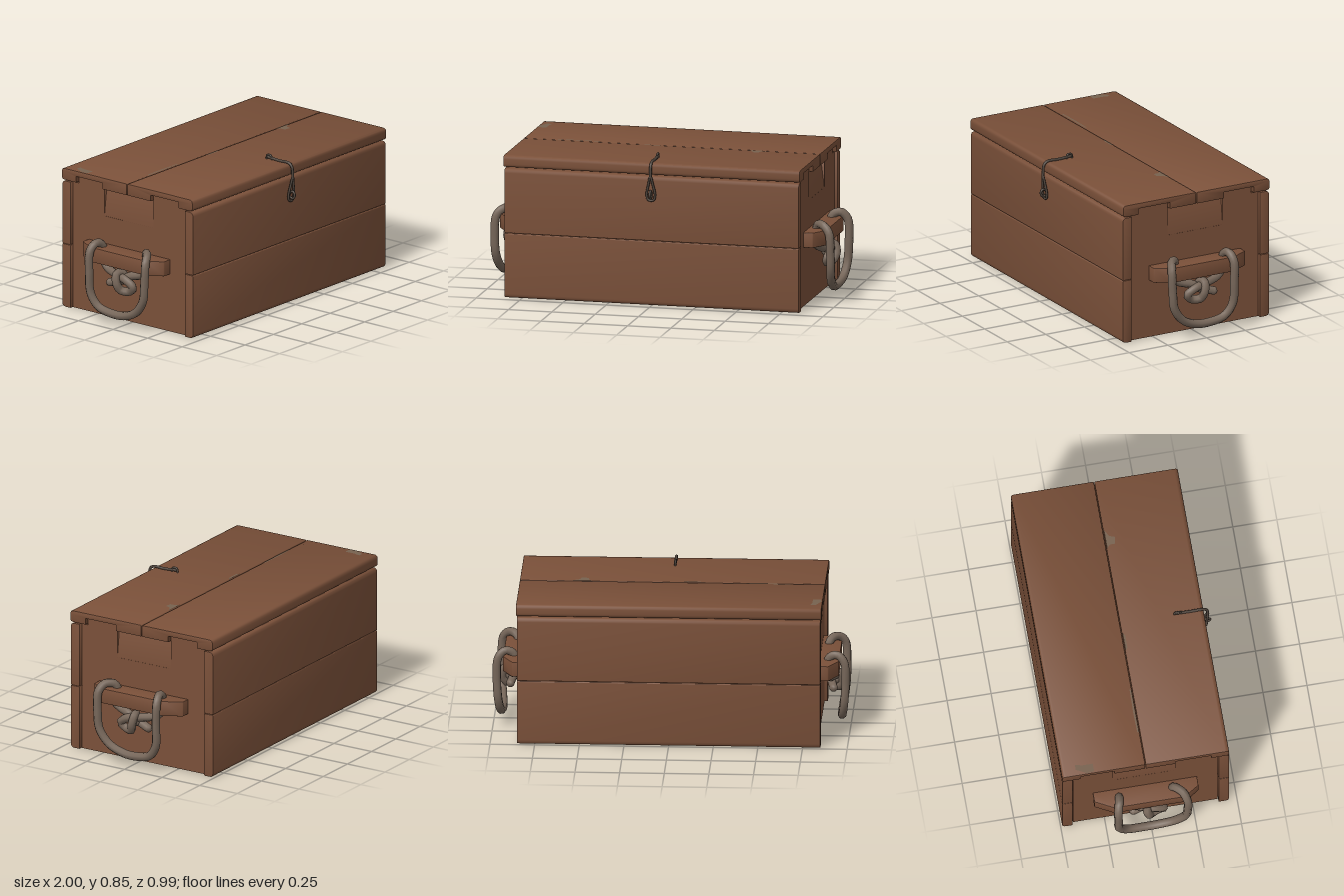
import * as THREE from 'three';
import { toCreasedNormals } from 'three/addons/utils/BufferGeometryUtils.js';

const material = (name, color, side = THREE.FrontSide) => {
  const m = new THREE.MeshStandardMaterial({ color, side });
  m.name = name;
  return m;
};

// Polygon whose corners are rounded; each point is [x, y, radius]
function roundedShape(points) {
  const shape = new THREE.Shape();
  const n = points.length;
  points.forEach(([x, y, r = 0.004], i) => {
    const p = new THREE.Vector2(x, y);
    const toward = (q) => new THREE.Vector2(q[0], q[1]).sub(p).setLength(r).add(p);
    const a = toward(points[(i + n - 1) % n]);
    const b = toward(points[(i + 1) % n]);
    if (i === 0) shape.moveTo(a.x, a.y);
    else shape.lineTo(a.x, a.y);
    shape.quadraticCurveTo(x, y, b.x, b.y);
  });
  shape.closePath();
  return shape;
}

function extrude(points, depth, bevel) {
  return new THREE.ExtrudeGeometry(roundedShape(points), {
    depth: depth - 2 * bevel, curveSegments: 4, bevelEnabled: bevel > 0,
    bevelThickness: bevel, bevelSize: bevel, bevelOffset: -bevel, bevelSegments: 2,
  }).translate(0, 0, bevel);
}

export function createModel() {
  const chest = new THREE.Group();
  chest.name = 'chest';
  const wood = material('wood', 0x7a5039);
  const rope = material('rope', 0x77675a);
  const iron = material('darkWire', 0x4d433b);
  const worn = material('wornWood', 0x77624f, THREE.DoubleSide);

  const add = (name, geometry, mat, parent = chest) => {
    const mesh = new THREE.Mesh(geometry, mat);
    mesh.name = name;
    parent.add(mesh);
    return mesh;
  };

  // Board running along x from a profile of [z, y, radius]
  const board = (name, profile, x0, x1, bevel = 0.004, parent = chest) => {
    const g = extrude(profile.map(([z, y, r]) => [-z, y, r]), Math.abs(x1 - x0), bevel);
    g.rotateY(Math.PI / 2).translate(Math.min(x0, x1), 0, 0);
    return add(name, toCreasedNormals(g, 0.7), wood, parent);
  };

  const tube = (name, points, radius, segments, mat, parent, closed = false) => {
    const curve = new THREE.CatmullRomCurve3(points.map((p) => new THREE.Vector3(...p)), closed, 'centripetal');
    add(name, new THREE.TubeGeometry(curve, segments, radius, 8, closed), mat, parent);
    // Rounded ends
    if (!closed) {
      for (const t of [0, 1]) {
        const p = curve.getPoint(t);
        add(name + 'End', new THREE.SphereGeometry(radius, 8, 6).translate(p.x, p.y, p.z), mat, parent);
      }
    }
  };

  // Front and back walls, two planks each
  for (const [name, inner, outer] of [['front', 0.396, 0.455], ['back', -0.432, -0.492]]) {
    board(name + 'LowerPlank', [[inner, 0.005], [outer, 0.005, 0.025], [outer, 0.374, 0.006], [inner, 0.374]], -0.85, 0.85);
    board(name + 'UpperPlank', [[inner, 0.376], [outer, 0.376, 0.006], [outer, 0.745, 0.025], [inner, 0.745]], -0.85, 0.85);
  }

  // Floor
  add('floor', new THREE.BoxGeometry(1.56, 0.04, 0.82).translate(0, 0.032, -0.018), wood);

  // Lid, two boards notched over the tabs of the end walls
  board('lidFrontBoard', [
    [0.455, 0.752, 0.02], [0.455, 0.82, 0.022], [-0.018, 0.82, 0.008], [-0.018, 0.752, 0.006],
    [0.152, 0.752], [0.152, 0.788], [0.353, 0.788], [0.353, 0.752],
  ], -0.855, 0.855);
  board('lidBackBoard', [
    [-0.492, 0.752, 0.02], [-0.492, 0.82, 0.022], [-0.021, 0.82, 0.008], [-0.021, 0.752, 0.006],
    [-0.197, 0.752], [-0.197, 0.788], [-0.388, 0.788], [-0.388, 0.752],
  ], -0.855, 0.855);

  // Both ends: wall, bar and rope handle
  for (const s of [1, -1]) {
    const end = new THREE.Group();
    end.name = s > 0 ? 'leftEnd' : 'rightEnd';
    chest.add(end);
    const zf = 0.392, zb = -0.428, xi = s * 0.78, xo = s * 0.832;

    for (const [y0, y1] of [[0.008, 0.25], [0.25, 0.5]]) {
      board('endPlank', [[zf, y0, 0.001], [zf, y1, 0.001], [zb, y1, 0.001], [zb, y0, 0.001]], xi, xo, 0, end);
    }
    board('tabbedEndPlank', [
      [zf, 0.5, 0.001], [zf, 0.745], [0.35, 0.745], [0.35, 0.785], [0.155, 0.785], [0.155, 0.59, 0.001],
      [-0.2, 0.59, 0.001], [-0.2, 0.785], [-0.385, 0.785], [-0.385, 0.745], [zb, 0.745], [zb, 0.5, 0.001],
    ], xi, xo, 0, end);

    // Sloping recess between the tabs
    const recess = extrude([[xi, 0.59, 0.001], [xo, 0.59, 0.001], [s * 0.812, 0.747, 0.001], [xi, 0.747, 0.001]], 0.355, 0);
    add('slopedRecess', toCreasedNormals(recess.translate(0, 0, -0.2), 0.5), wood, end);

    // Handle bar, tapered in plan
    const bar = extrude([
      [s * 0.825, 0.315], [s * 0.885, 0.315], [s * 0.94, 0.21],
      [s * 0.94, -0.19], [s * 0.885, -0.275], [s * 0.825, -0.275],
    ], 0.086, 0.003);
    bar.rotateX(-Math.PI / 2).translate(0, 0.344, 0);
    add('handleBar', toCreasedNormals(bar, 0.4), wood, end);

    // Rope: strand behind the bar, hanging loop, then the knot
    const path = [
      [0.915, 0.265, -0.02], [0.895, 0.3, 0.04], [0.88, 0.315, 0.1], [0.872, 0.345, 0.145], [0.868, 0.41, 0.13],
      [0.88, 0.45, 0.14], [0.92, 0.457, 0.18], [0.958, 0.42, 0.2], [0.968, 0.3, 0.2], [0.966, 0.2, 0.188],
      [0.957, 0.12, 0.13], [0.95, 0.08, 0.04], [0.95, 0.076, -0.05], [0.957, 0.1, -0.14], [0.968, 0.17, -0.187],
      [0.976, 0.3, -0.193], [0.968, 0.42, -0.193], [0.93, 0.458, -0.183], [0.885, 0.44, -0.175], [0.875, 0.35, -0.17],
      [0.885, 0.312, -0.13], [0.91, 0.297, -0.05], [0.925, 0.282, 0.03], [0.918, 0.247, 0.077], [0.91, 0.215, 0.045],
      [0.93, 0.218, 0], [0.95, 0.26, -0.017], [0.935, 0.312, -0.026], [0.9, 0.31, -0.015], [0.885, 0.27, -0.005],
      [0.895, 0.255, -0.05], [0.905, 0.24, -0.098],
    ];
    tube('ropeHandle', path.map(([x, y, z]) => [s * x, y, z]), 0.024, 130, rope, end);
  }

  // Wire latch over the front edge
  const latch = new THREE.Group();
  latch.name = 'latch';
  chest.add(latch);
  tube('latchStaple', [[0, 0.815, 0.29], [0, 0.842, 0.295], [0, 0.844, 0.32], [0, 0.82, 0.328]], 0.006, 16, iron, latch);
  tube('latchStrand', [[0, 0.832, 0.3], [0, 0.827, 0.38], [0, 0.827, 0.45], [0, 0.81, 0.472], [0, 0.745, 0.48]], 0.008, 28, iron, latch);
  tube('latchLoop', [
    [0, 0.75, 0.48], [0.013, 0.7, 0.474], [0.024, 0.64, 0.468], [0.015, 0.613, 0.468],
    [-0.015, 0.613, 0.468], [-0.024, 0.64, 0.468], [-0.013, 0.7, 0.474],
  ], 0.007, 40, iron, latch, true);
  tube('latchPeg', [[0, 0.64, 0.452], [0, 0.66, 0.466], [0, 0.665, 0.482], [0, 0.645, 0.493], [0, 0.625, 0.482], [0, 0.63, 0.455]], 0.007, 24, iron, latch);

  // Worn patches on the lid, outlines in [x, z]
  const patches = [
    [[-0.845, -0.31], [-0.8, -0.31], [-0.8, -0.37], [-0.79, -0.41], [-0.82, -0.41], [-0.85, -0.35]],
    [[-0.66, -0.025], [-0.4, -0.025], [-0.4, -0.033], [-0.55, -0.036], [-0.66, -0.033]],
    [[-0.17, -0.014], [-0.06, -0.014], [-0.08, -0.002], [-0.15, -0.002]],
    [[0.45, -0.014], [0.56, -0.014], [0.52, 0.01], [0.51, 0.04], [0.47, 0.035], [0.47, 0.005]],
  ];
  for (const outline of patches) {
    const shape = new THREE.Shape(outline.map(([x, z]) => new THREE.Vector2(x, -z)));
    add('wornPatch', new THREE.ShapeGeometry(shape).rotateX(-Math.PI / 2).translate(0, 0.821, 0), worn);
  }
  return chest;
}
